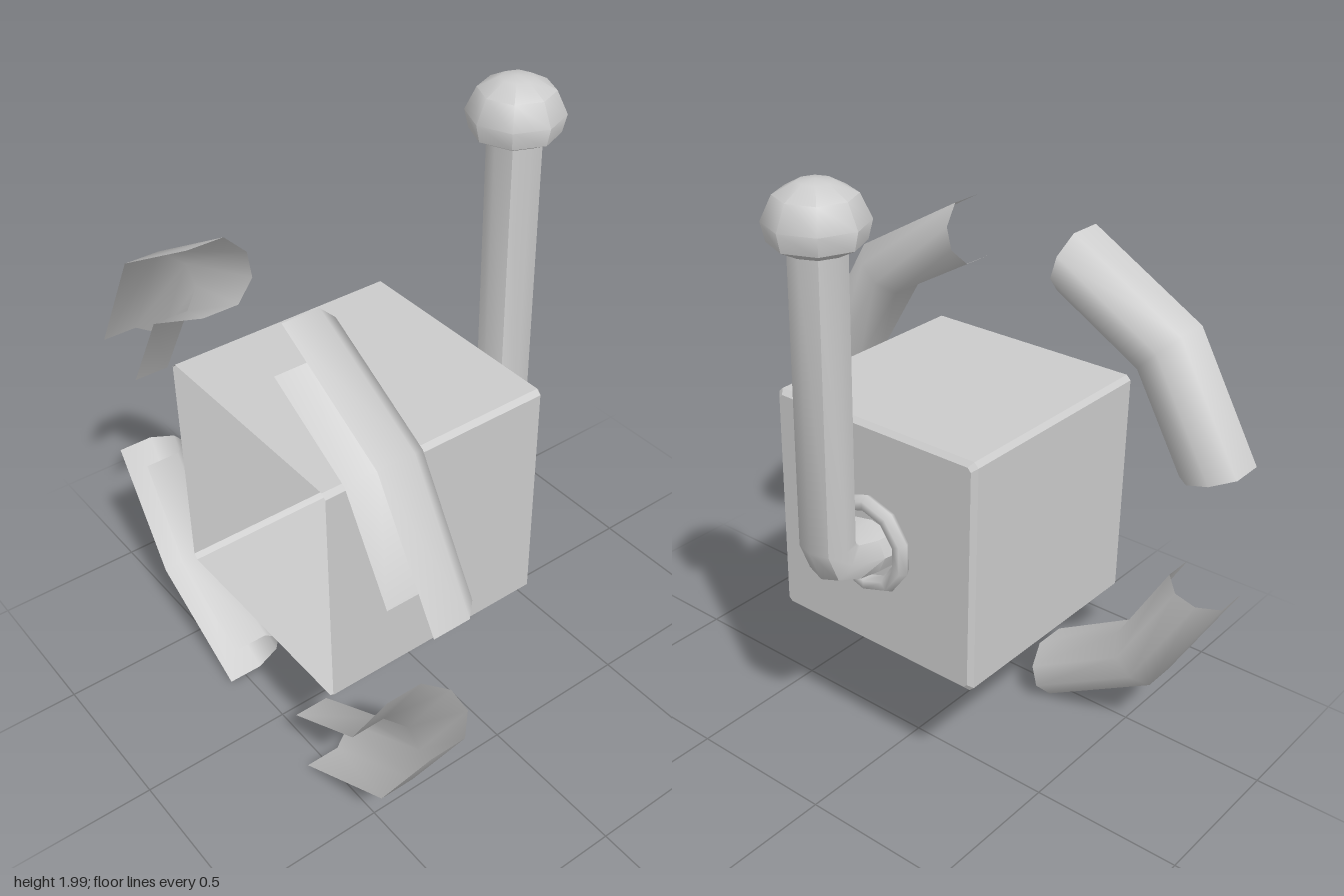
import * as THREE from 'three';
import { toCreasedNormals } from 'three/addons/utils/BufferGeometryUtils.js';

const material = new THREE.MeshStandardMaterial({ color: 0xcccccc, side: THREE.DoubleSide });
const CY = 0.845; // height of the central axis

// Skin a list of cross-sections; closed joins each section's ends, cap fills the last one.
function loft(rings, { closed = true, cap = false, crease = 0.3 } = {}) {
  const pos = [];
  const tri = (...pts) => pts.forEach((p) => pos.push(...p));
  const n = rings[0].length;
  for (let i = 0; i < rings.length - 1; i++) {
    for (let j = 0; j < (closed ? n : n - 1); j++) {
      const k = (j + 1) % n;
      const a = rings[i][j], b = rings[i][k], c = rings[i + 1][k], d = rings[i + 1][j];
      tri(a, b, d);
      tri(b, c, d);
    }
  }
  if (cap) {
    const r = rings[rings.length - 1];
    for (let j = 1; j < n - 1; j++) tri(r[0], r[j], r[j + 1]);
  }
  const g = new THREE.BufferGeometry();
  g.setAttribute('position', new THREE.Float32BufferAttribute(pos, 3));
  return toCreasedNormals(g, crease);
}

function add(group, name, geometry) {
  const mesh = new THREE.Mesh(geometry, material);
  mesh.name = name;
  group.add(mesh);
  return mesh;
}

// Square section with chamfered corners, in the plane at x
function squareSection(x, h, c) {
  const k = h - c;
  return [[h, -k], [h, k], [k, h], [-k, h], [-h, k], [-h, -k], [-k, -h], [k, -h]]
    .map(([y, z]) => [x, CY + y, z]);
}

// Eight-sided pipe section, slightly square, at (x, y) and facing the angle a
function pipeSection(x, y, a, ry = 0.075, rz = 0.075) {
  return Array.from({ length: 8 }, (_, i) => {
    const t = (i * Math.PI) / 4, s = i % 2 ? 1.08 : 1;
    const u = Math.cos(t) * ry * s, w = Math.sin(t) * rz * s;
    return [x - Math.sin(a) * u, y + Math.cos(a) * u, w];
  });
}

export function createModel() {
  const model = new THREE.Group();
  model.name = 'leverSwitch';

  // Housing: chamfered cube, open on its -x side
  add(model, 'housing', loft([
    squareSection(-0.555, 0.385, 0.015),
    squareSection(0.2, 0.385, 0.015),
    squareSection(0.215, 0.37, 0.012),
  ], { cap: true }));

  // Four bent channels around the open side, hollow towards -x
  const profile = [[-0.555, 0.67], [-0.44, 0.67], [-0.38, 0.73], [-0.38, 0.805], [-0.44, 0.867], [-0.555, 0.867]];
  const channel = loft([15, 45, 75].map((deg) => {
    const a = THREE.MathUtils.degToRad(deg);
    return profile.map(([x, r]) => [x, r * Math.cos(a), r * Math.sin(a)]);
  }), { closed: false, crease: 0.95 });
  for (let i = 0; i < 4; i++) {
    const mesh = add(model, 'rimChannel' + (i + 1), channel);
    mesh.position.y = CY;
    mesh.rotation.x = (i * Math.PI) / 2;
  }

  // Collar ring where the lever enters the housing
  const collar = add(model, 'collar', new THREE.TorusGeometry(0.137, 0.027, 6, 10));
  collar.rotation.set(Math.PI / 2, Math.PI / 2, 0, 'YXZ');
  collar.rotation.set(0, Math.PI / 2, 0);
  collar.geometry.rotateZ(Math.PI / 2);
  collar.position.set(0.236, CY, 0);

  // Lever: flared root, tight elbow, straight shaft
  const px = 0.33, py = 0.92, r = 0.075, q = Math.SQRT1_2 * r;
  add(model, 'lever', loft([
    pipeSection(0.21, CY, 0, 0.07, 0.107),
    pipeSection(0.27, CY, 0, 0.07, 0.1),
    pipeSection(px, py - r, 0),
    pipeSection(px + q, py - q, Math.PI / 4),
    pipeSection(px + r, py, Math.PI / 2),
    pipeSection(px + r, 1.83, Math.PI / 2),
  ], { crease: 0.82 }));

  // Knob
  const knobProfile = [[0, 1.805], [0.075, 1.805], [0.133, 1.835], [0.146, 1.89], [0.113, 1.96], [0.05, 1.994], [0, 2]]
    .map(([x, y]) => new THREE.Vector2(x, y));
  const knob = add(model, 'knob', toCreasedNormals(new THREE.LatheGeometry(knobProfile, 8), 0.72));
  knob.position.x = px + r;

  return model;
}
